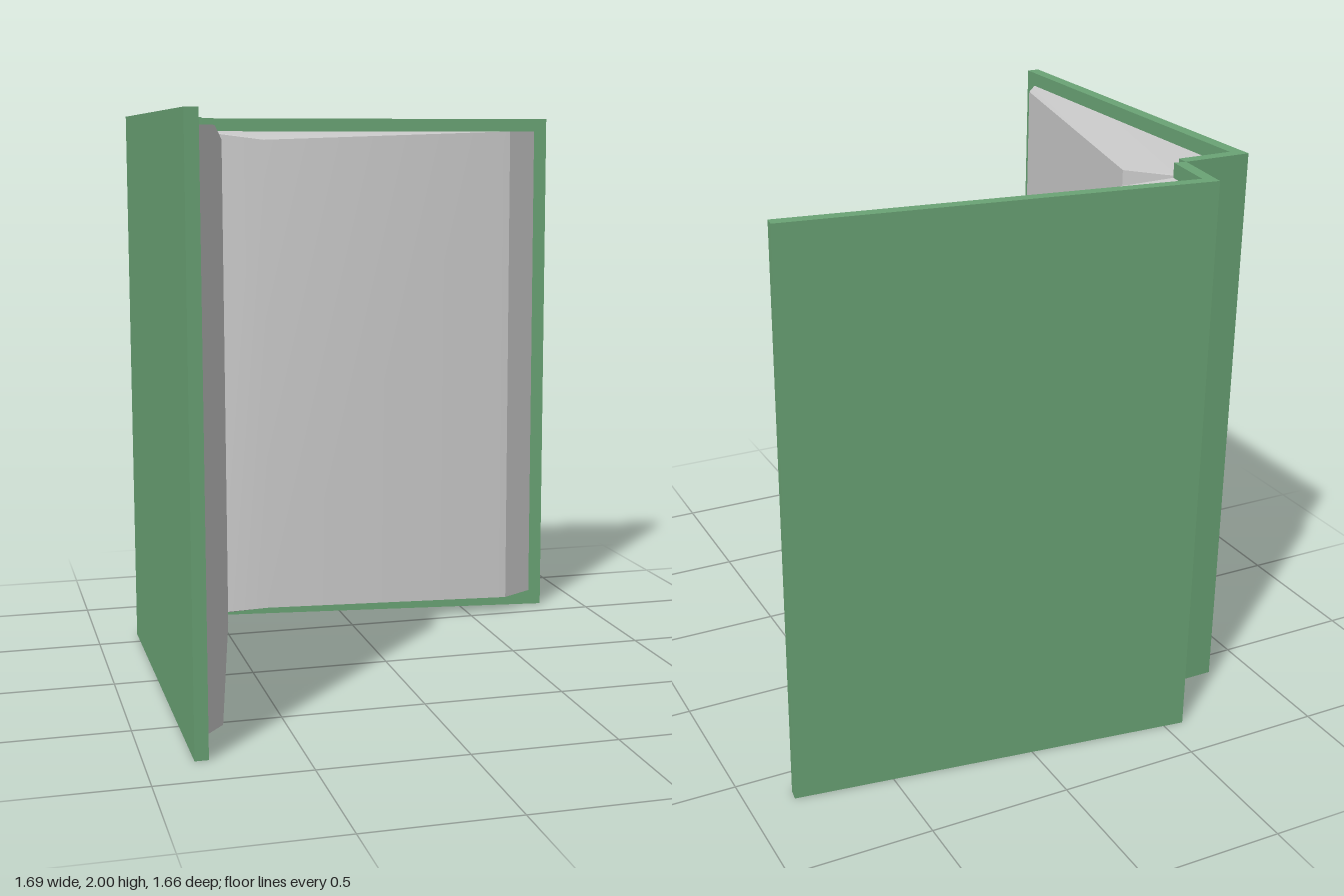
import * as THREE from 'three';
import { toCreasedNormals } from 'three/addons/utils/BufferGeometryUtils.js';

// Closed block from an [x, z] outline (clockwise from above);
// the ridge corner is pulled in at the top and bottom.
function pageBlock(outline, ridge) {
  const n = outline.length, pos = [], idx = [];
  outline.forEach(([x, z], i) => {
    const inset = i === ridge ? 0.095 : 0.06;
    pos.push(x, inset, z, x, 2.01 - inset, z);
  });
  for (let i = 0; i < n; i++) {
    const j = (i + 1) % n;
    idx.push(2 * j, 2 * i, 2 * i + 1, 2 * j, 2 * i + 1, 2 * j + 1);
    if (i !== ridge && j !== ridge) {
      idx.push(2 * ridge + 1, 2 * j + 1, 2 * i + 1, 2 * ridge, 2 * i, 2 * j);
    }
  }
  const g = new THREE.BufferGeometry();
  g.setAttribute('position', new THREE.Float32BufferAttribute(pos, 3));
  g.setIndex(idx);
  return toCreasedNormals(g, THREE.MathUtils.degToRad(25));
}

export function createModel() {
  const model = new THREE.Group();
  model.name = 'openBook';
  const green = new THREE.MeshStandardMaterial({ color: 0x6aa375 });
  const grey = new THREE.MeshStandardMaterial({ color: 0xcccccc });

  const add = (name, geometry, material) => {
    const mesh = new THREE.Mesh(geometry, material);
    mesh.name = name;
    model.add(mesh);
  };

  // Cover boards: L-shaped plans meeting at the spine hinge
  const cover = (name, plan) => {
    const shape = new THREE.Shape(plan.map(([x, z]) => new THREE.Vector2(x, -z)));
    const g = new THREE.ExtrudeGeometry(shape, { depth: 2, bevelEnabled: false });
    add(name, g.rotateX(-Math.PI / 2), green);
  };
  cover('rightCover', [
    [-0.845, 0.83], [-0.8, 0.83], [-0.8, -0.557], [-0.603, -0.557], [-0.6, -0.6], [-0.845, -0.6],
  ]);
  cover('leftCover', [
    [-0.602, -0.6], [-0.56, -0.593], [-0.535, -0.79], [0.836, -0.605], [0.842, -0.647], [-0.571, -0.835],
  ]);

  // Page blocks, swelling near the gutter and bevelled at the outer edge
  add('rightPages', pageBlock([
    [-0.8, -0.557], [-0.603, -0.557], [-0.597, -0.597], [-0.53, -0.335], [-0.73, 0.69], [-0.8, 0.775],
  ], 3), grey);
  add('leftPages', pageBlock([
    [-0.535, -0.79], [0.785, -0.606], [0.655, -0.527], [-0.34, -0.503], [-0.597, -0.597], [-0.56, -0.593],
  ], 3), grey);

  return model;
}
